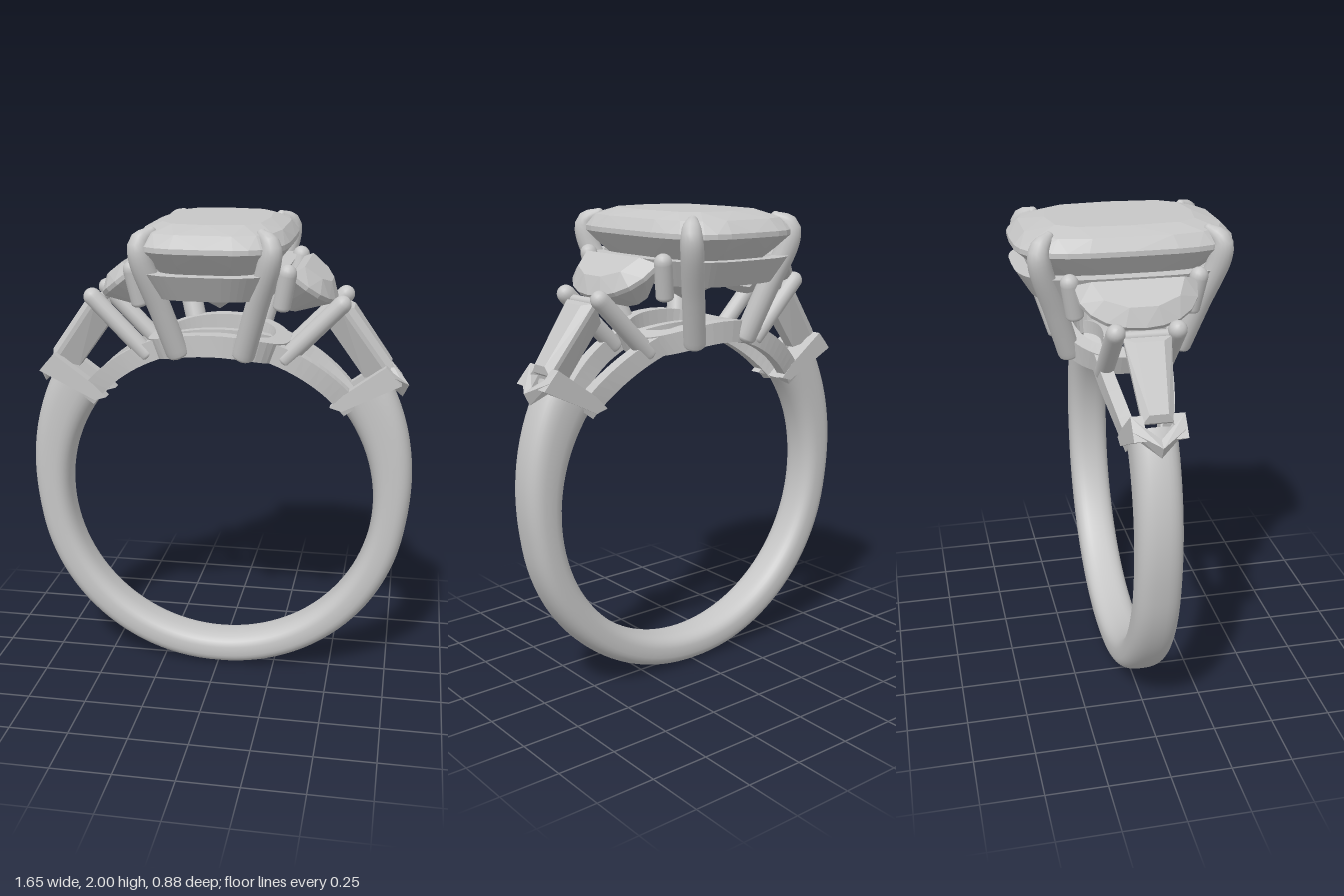
import * as THREE from 'three';
import { ConvexGeometry } from 'three/addons/geometries/ConvexGeometry.js';

const CY = 0.803, INNER = 0.667; // finger hole centre and radius
const V = (x, y, z) => new THREE.Vector3(x, y, z);
const metal = new THREE.MeshStandardMaterial({ color: 0xc6c6c6 });
metal.name = 'polished grey';

function part(parent, name, geo) {
  const m = new THREE.Mesh(geo, metal);
  m.name = name;
  parent.add(m);
  return m;
}

// Skin a list of equal cross-sections; closed joins last to first, otherwise ends are capped.
function loft(rings, { closed = false, smooth = true } = {}) {
  const n = rings[0].length, R = rings.length, pts = rings.flat(), idx = [];
  for (let i = 0; i < (closed ? R : R - 1); i++) {
    for (let j = 0; j < n; j++) {
      const a = i * n + j, b = i * n + (j + 1) % n;
      const c = ((i + 1) % R) * n + j, d = ((i + 1) % R) * n + (j + 1) % n;
      idx.push(a, b, c, b, d, c);
    }
  }
  if (!closed) {
    for (const [r, flip] of [[0, true], [R - 1, false]]) {
      const base = pts.length;
      pts.push(...rings[r].map(p => p.clone()));
      for (let j = 1; j < n - 1; j++) {
        idx.push(base, base + (flip ? j + 1 : j), base + (flip ? j : j + 1));
      }
    }
  }
  // turn the skin outward when its signed volume is negative
  let vol = 0;
  for (let i = 0; i < idx.length; i += 3) {
    vol += pts[idx[i]].dot(pts[idx[i + 1]].clone().cross(pts[idx[i + 2]]));
  }
  if (vol < 0) idx.reverse();
  let g = new THREE.BufferGeometry().setFromPoints(pts);
  g.setIndex(idx);
  if (!smooth) g = g.toNonIndexed();
  g.computeVertexNormals();
  return g;
}

// Round wire along a curve with rounded ends; tip < 1 tapers the far end.
function wire(points, r, tip = 1) {
  const curve = points.length > 2 ? new THREE.CatmullRomCurve3(points) : new THREE.LineCurve3(...points);
  const N = 28, f = curve.computeFrenetFrames(N, false), rings = [];
  const ring = (i, rad, shift) => {
    const c = curve.getPointAt(i / N).addScaledVector(f.tangents[i], shift);
    return Array.from({ length: 16 }, (_, k) => {
      const a = k / 16 * Math.PI * 2;
      return c.clone().addScaledVector(f.normals[i], rad * Math.cos(a)).addScaledVector(f.binormals[i], rad * Math.sin(a));
    });
  };
  const rEnd = r * tip;
  for (let k = 5; k >= 1; k--) rings.push(ring(0, r * Math.cos(k * 0.3), -0.5 * r * Math.sin(k * 0.3)));
  for (let i = 0; i <= N; i++) {
    const t = Math.max(0, (i / N - 0.75) / 0.25);
    rings.push(ring(i, r + (rEnd - r) * t * t, 0));
  }
  for (let k = 1; k <= 5; k++) rings.push(ring(N, rEnd * Math.cos(k * 0.3), rEnd * Math.sin(k * 0.3)));
  return loft(rings);
}

const pw = (v, e) => Math.sign(v) * Math.abs(v) ** e;
// Point on a cushion outline
const cushion = (a, hx, hz, y, e = 0.57) => V(hx * pw(Math.cos(a), e), y, hz * pw(Math.sin(a), e));
// Point on the finger arc: a is the angle from the top
const arc = (a, r, z) => V(r * Math.sin(a), CY + r * Math.cos(a), z);

// Rectangular band hugging the finger arc; path gives [angle, z]
function arcBand(path, closed, half = 0.03, outer = 0.755) {
  const n = path.length;
  const rings = path.map(([a, z], i) => {
    const p = path[closed ? (i + n - 1) % n : Math.max(0, i - 1)];
    const q = path[closed ? (i + 1) % n : Math.min(n - 1, i + 1)];
    const dx = (q[0] - p[0]) * INNER, dz = q[1] - p[1], l = Math.hypot(dx, dz);
    const oa = -dz / l * half / INNER, oz = dx / l * half;
    return [arc(a - oa, INNER, z - oz), arc(a + oa, INNER, z + oz), arc(a + oa, outer, z + oz), arc(a - oa, outer, z - oz)];
  });
  return loft(rings, { closed, smooth: false });
}

function shank() {
  const end = THREE.MathUtils.degToRad(51), rings = [];
  for (let i = 0; i <= 80; i++) {
    const a = end + (2 * Math.PI - 2 * end) * i / 80;
    const up = Math.max(0, Math.cos(a) + 0.15);
    const outer = 0.803 + 0.012 * Math.abs(Math.sin(a)) + 0.13 * up ** 1.5;
    const mid = (INNER + outer) / 2, h = (outer - INNER) / 2;
    rings.push(Array.from({ length: 32 }, (_, k) => {
      const t = k / 32 * Math.PI * 2;
      return arc(a, mid + h * pw(Math.sin(t), 0.75), 0.092 * pw(Math.cos(t), 0.75));
    }));
  }
  return loft(rings);
}

function centreStone() {
  // [scale, height, facet count, turn]
  const layers = [[0.68, 2.0, 12, 0], [0.9, 1.972, 16, 0.5], [1, 1.925, 32, 0], [1, 1.905, 32, 0],
    [0.86, 1.85, 16, 0.5], [0.56, 1.745, 12, 0]];
  const pts = [V(0, 1.62, 0)];
  for (const [s, y, n, turn] of layers) {
    for (let i = 0; i < n; i++) pts.push(cushion((i + turn) / n * Math.PI * 2, 0.31 * s, 0.44 * s, y));
  }
  return new ConvexGeometry(pts);
}

function halfMoonStone() {
  const t = THREE.MathUtils.degToRad(38), c = Math.cos(t), s = Math.sin(t);
  const at = (u, n, z) => V(0.325 + u * c + n * s, 1.81 - u * s + n * c, z);
  const pts = [];
  for (let i = 0; i <= 10; i++) {
    const a = i / 10 * Math.PI, z = 0.24 * Math.cos(a), u = 0.21 * Math.sin(a) ** 0.8;
    pts.push(at(u, 0, z), at(u, -0.018, z));
    if (i % 2 === 0) pts.push(at(0.02 + u * 0.62, 0.045, z * 0.75), at(0.05 + u * 0.3, -0.15, z * 0.42));
  }
  return new ConvexGeometry(pts);
}

function taperedStone() {
  // long axis runs down the shoulder from a to b, n points outward
  const a = V(0.535, 1.665, 0), b = V(0.725, 1.40, 0);
  const d = b.clone().sub(a).normalize(), n = V(-d.y, d.x, 0), pts = [];
  for (const [inset, lift, k] of [[0.025, 0.012, 0.6], [0, -0.012, 1], [0, -0.03, 1], [0.03, -0.12, 0.4]]) {
    for (const s of [-1, 1]) {
      pts.push(a.clone().addScaledVector(d, inset).addScaledVector(n, lift).setZ(s * 0.092 * k));
      pts.push(b.clone().addScaledVector(d, -inset).addScaledVector(n, lift).setZ(s * 0.06 * k));
    }
  }
  return new ConvexGeometry(pts);
}

// Everything on the +x shoulder
function shoulder() {
  const g = new THREE.Group();
  g.name = 'shoulder';
  part(g, 'halfMoonStone', halfMoonStone());
  part(g, 'taperedStone', taperedStone());
  part(g, 'stoneDividerBar', wire([V(0.5, 1.655, -0.11), V(0.5, 1.655, 0.11)], 0.02));
  for (const s of [-1, 1]) {
    part(g, 'centreProng', wire([V(0.135, 1.48, s * 0.23), V(0.19, 1.67, s * 0.29), V(0.25, 1.87, s * 0.355),
      V(0.255, 1.935, s * 0.357), V(0.215, 1.972, s * 0.315)], 0.046, 0.45));
    part(g, 'halfMoonProng', wire([V(0.285, 1.68, s * 0.23), V(0.31, 1.815, s * 0.253)], 0.036));
    part(g, 'shoulderProng', wire([V(0.285, 1.44, s * 0.118), V(0.515, 1.675, s * 0.118)], 0.037));
    // V-shaped end prong and its side leg
    part(g, 'endProngLeg', new ConvexGeometry([[0.475, 1.24], [0.525, 1.225], [0.70, 1.42], [0.765, 1.345], [0.56, 1.25], [0.53, 1.295]]
      .flatMap(([x, y]) => [V(x, y, s * 0.055), V(x, y, s * 0.103)])));
    part(g, 'endProngArm', new ConvexGeometry([[0.69, 1.38, 0.06], [0.70, 1.42, 0.103], [0.74, 1.375, 0.103],
      [0.715, 1.35, 0.103], [0.735, 1.31, 0], [0.76, 1.345, 0], [0.795, 1.325, 0], [0.77, 1.275, 0]]
      .map(([x, y, z]) => V(x, y, s * z))));
    // split rail from the shank to the gallery
    part(g, 'shoulderRail', arcBand(Array.from({ length: 13 }, (_, i) => {
      const t = i / 12;
      return [0.92 - 0.62 * t, s * (0.06 + 0.065 * Math.sin(t * Math.PI / 2))];
    }), false, 0.026, 0.75));
  }
  return g;
}

export function createModel() {
  const root = new THREE.Group();
  root.name = 'threeStoneRing';
  part(root, 'shank', shank());
  part(root, 'centreStone', centreStone());

  // flared ring below the centre stone
  const upper = Array.from({ length: 64 }, (_, i) => {
    const a = i / 64 * Math.PI * 2;
    return [cushion(a, 0.30, 0.435, 1.82), cushion(a, 0.25, 0.37, 1.717), cushion(a, 0.19, 0.31, 1.717), cushion(a, 0.24, 0.375, 1.82)];
  });
  part(root, 'upperGallery', loft(upper, { closed: true, smooth: false }));

  // oval ring bent over the finger, with two inner scroll bars
  part(root, 'lowerGallery', arcBand(Array.from({ length: 48 }, (_, i) => {
    const a = i / 48 * Math.PI * 2;
    return [0.36 * pw(Math.cos(a), 0.8), 0.22 * pw(Math.sin(a), 0.8)];
  }), true));
  for (const s of [-1, 1]) {
    part(root, 'galleryScroll', arcBand(Array.from({ length: 17 }, (_, i) => {
      const t = i / 8 - 1;
      return [0.34 * t, s * (0.05 + 0.06 * t * t)];
    }), false, 0.02, 0.72));
  }

  const right = shoulder(), left = shoulder();
  left.rotation.y = Math.PI;
  root.add(right, left);
  return root;
}
